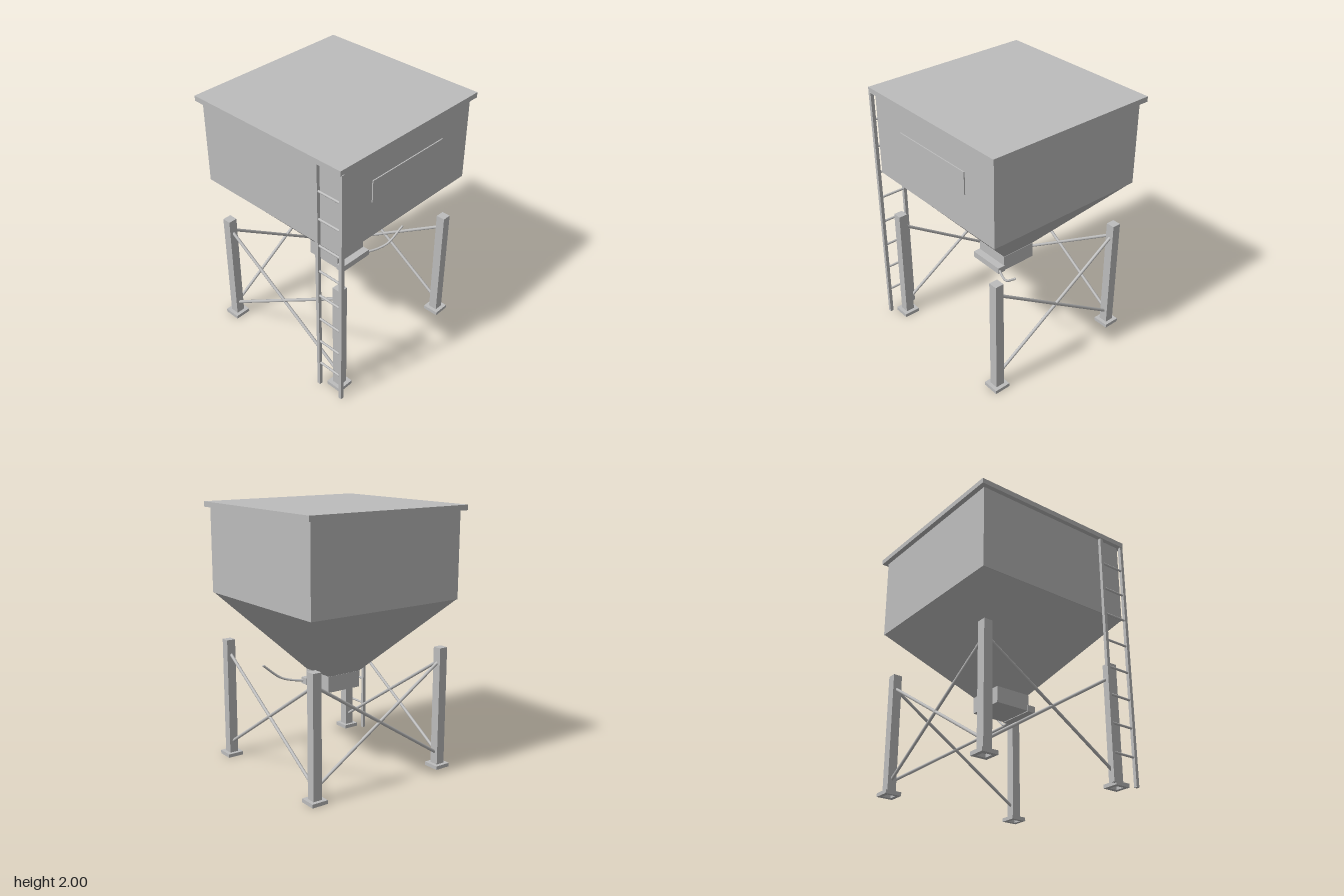
import * as THREE from 'three';

const steel = new THREE.MeshStandardMaterial({ color: 0xbcbcbc });
steel.name = 'grey steel';

export function createModel() {
  const model = new THREE.Group();
  model.name = 'hopper';

  const add = (name, geometry, x = 0, y = 0, z = 0) => {
    const mesh = new THREE.Mesh(geometry, steel);
    mesh.name = name;
    mesh.position.set(x, y, z);
    model.add(mesh);
    return mesh;
  };
  const box = (name, w, h, d, x, y, z) => add(name, new THREE.BoxGeometry(w, h, d), x, y, z);

  // Round bar between two points
  const bar = (name, a, b, radius) => {
    const from = new THREE.Vector3(...a), to = new THREE.Vector3(...b);
    const dir = to.clone().sub(from);
    const mesh = add(name, new THREE.CylinderGeometry(radius, radius, dir.length(), 12));
    mesh.position.copy(from).add(to).multiplyScalar(0.5);
    mesh.quaternion.setFromUnitVectors(new THREE.Vector3(0, 1, 0), dir.normalize());
  };

  // Bin, lid and front plate
  box('lid', 1.38, 0.04, 1.38, 0, 1.98, -0.003);
  box('bin', 1.31, 0.65, 1.31, 0, 1.635, 0);
  box('frontPlate', 0.72, 0.17, 0.009, 0, 1.675, 0.659);

  // Four-sided funnel, softly shaded round its corners
  const r2 = Math.SQRT2;
  add('funnel', new THREE.CylinderGeometry(0.65 * r2, 0.143 * r2, 0.575, 4, 1, true, Math.PI / 4), 0, 1.0225, 0);

  // Outlet with sliding gate and bent handle
  box('outlet', 0.29, 0.125, 0.29, 0, 0.6725, 0);
  box('slideGate', 0.3, 0.05, 0.065, 0, 0.63, 0.17);
  const handlePath = new THREE.CatmullRomCurve3([
    [0.13, 0.627, 0.18], [0.23, 0.638, 0.23], [0.31, 0.665, 0.262], [0.44, 0.77, 0.29],
  ].map((p) => new THREE.Vector3(...p)));
  add('gateHandle', new THREE.TubeGeometry(handlePath, 24, 0.009, 10, false));
  for (const t of [0, 1]) {
    const p = handlePath.getPoint(t);
    add('handleEnd', new THREE.SphereGeometry(0.009, 10, 8), p.x, p.y, p.z);
  }

  // Legs on square feet that are hollow underneath
  const square = (Type, s) => new Type([[-s, -s], [s, -s], [s, s], [-s, s]].map((p) => new THREE.Vector2(...p)));
  const footShape = square(THREE.Shape, 0.064);
  footShape.holes.push(square(THREE.Path, 0.034));
  const footGeometry = new THREE.ExtrudeGeometry(footShape, { depth: 0.028, bevelEnabled: false });
  footGeometry.rotateX(-Math.PI / 2);
  const L = 0.575;
  for (const sx of [-1, 1]) {
    for (const sz of [-1, 1]) {
      box('leg', 0.07, 0.92, 0.07, sx * L, 0.485, sz * L);
      add('foot', footGeometry, sx * L, 0, sz * L);
    }
  }

  // Cross braces on the back and both sides; the front stays open
  const low = 0.12, high = 0.83, e = 0.55;
  for (const s of [-1, 1]) {
    bar('backBrace', [-s * e, high, -L], [s * e, low, -L], 0.012);
    for (const side of [-1, 1]) {
      bar('sideBrace', [side * L, high, -s * e], [side * L, low, s * e], 0.012);
    }
  }

  // Ladder on the right-hand side
  const lx = -0.669, z1 = 0.463, z2 = 0.679;
  for (const z of [z1, z2]) box('ladderRail', 0.026, 1.965, 0.026, lx, 0.9825, z);
  for (let i = 1; i <= 8; i++) {
    bar('ladderRung', [lx, i * 0.2185, z1], [lx, i * 0.2185, z2], 0.009);
  }

  return model;
}
